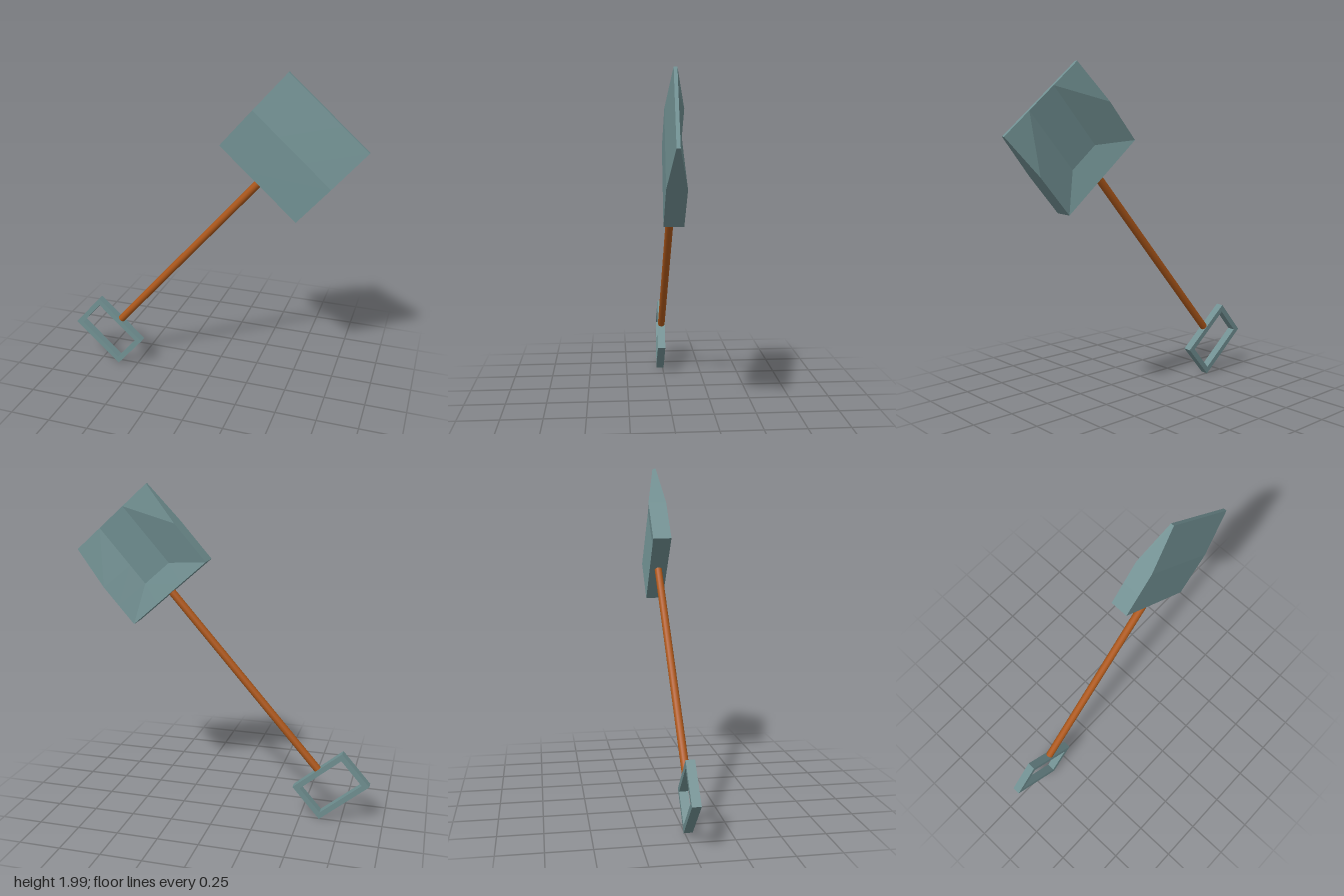
import * as THREE from 'three';

const steel = new THREE.MeshStandardMaterial({ color: 0x6f8e90, flatShading: true });
const wood = new THREE.MeshStandardMaterial({ color: 0xac571a });

// Blade: full thickness for half its length, then tapering; scooped out at the back
function bladeGeometry() {
  const width = 0.612, length = 0.57, cells = 3;
  const along = [0, 0.25, 0.5, 1];
  const frontZ = [0.055, 0.055, 0.055, 0.02];
  const rimZ = [-0.055, -0.055, -0.055, 0];
  const scoopZ = [-0.055, 0, 0, 0];
  const point = (i, j, z) => [(i / cells - 0.5) * width, along[j] * length, z];
  const front = (i, j) => point(i, j, frontZ[j]);
  const back = (i, j) => point(i, j, (i === 0 || i === cells ? rimZ : scoopZ)[j]);

  const positions = [];
  const quad = (a, b, c, d, flip = false) => {
    const corners = flip ? [a, b, d, b, c, d] : [a, b, c, a, c, d];
    corners.forEach((p) => positions.push(...p));
  };
  for (let i = 0; i < cells; i++) {
    for (let j = 0; j < cells; j++) {
      quad(front(i, j), front(i + 1, j), front(i + 1, j + 1), front(i, j + 1));
      // diagonals mirror left to right so the scoop stays symmetric
      quad(back(i + 1, j), back(i, j), back(i, j + 1), back(i + 1, j + 1), i < 2);
    }
    // base and cutting edge
    quad(back(i, 0), back(i + 1, 0), front(i + 1, 0), front(i, 0));
    quad(front(i, cells), front(i + 1, cells), back(i + 1, cells), back(i, cells));
    // side walls
    quad(back(0, i), front(0, i), front(0, i + 1), back(0, i + 1));
    quad(front(cells, i), back(cells, i), back(cells, i + 1), front(cells, i + 1));
  }
  const geometry = new THREE.BufferGeometry();
  geometry.setAttribute('position', new THREE.Float32BufferAttribute(positions, 3));
  geometry.computeVertexNormals();
  return geometry;
}

// Grip: rectangular frame with an open middle
function gripGeometry() {
  const w = 0.195, h = 0.128, bar = 0.032, depth = 0.05;
  const rectangle = (target, x, y) => {
    target.moveTo(-x, -y);
    target.lineTo(x, -y);
    target.lineTo(x, y);
    target.lineTo(-x, y);
    target.closePath();
    return target;
  };
  const shape = rectangle(new THREE.Shape(), w, h);
  shape.holes.push(rectangle(new THREE.Path(), w - bar, h - bar));
  return new THREE.ExtrudeGeometry(shape, { depth, bevelEnabled: false }).translate(0, 0, -depth / 2);
}

export function createModel() {
  const shovel = new THREE.Group();
  shovel.name = 'shovel';

  const add = (name, geometry, material, y) => {
    const mesh = new THREE.Mesh(geometry, material);
    mesh.name = name;
    mesh.position.y = y;
    shovel.add(mesh);
  };
  add('blade', bladeGeometry(), steel, 0);
  add('shaft', new THREE.CylinderGeometry(0.023, 0.023, 1.43, 16), wood, -0.675);
  add('grip', gripGeometry(), steel, -1.506);

  // Lean the whole tool diagonally with a slight twist
  shovel.rotation.set(-0.006, -0.035, -0.716, 'ZYX');
  shovel.position.set(0.306, 1.371, 0.002);

  const model = new THREE.Group();
  model.add(shovel);
  return model;
}
